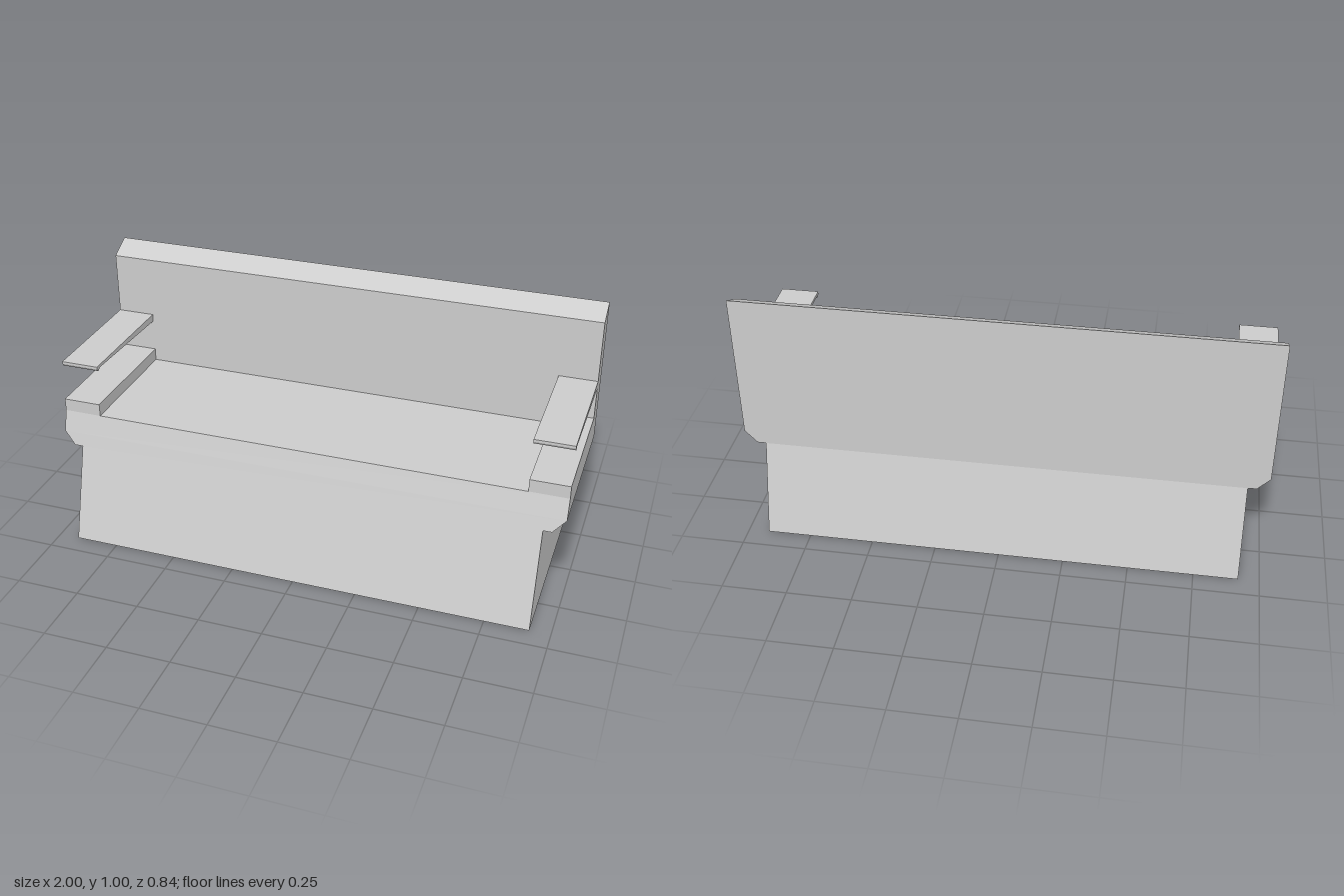
import * as THREE from 'three';

const material = new THREE.MeshStandardMaterial({ color: 0xcccccc, flatShading: true });

// Side profile of [z, y] points, extruded along x from x0 to x1
function profilePart(name, points, x0, x1) {
  const shape = new THREE.Shape(points.map(([z, y]) => new THREE.Vector2(z, y)));
  const geometry = new THREE.ExtrudeGeometry(shape, { depth: x1 - x0, bevelEnabled: false });
  geometry.rotateY(-Math.PI / 2).translate(x1, 0, 0);
  const mesh = new THREE.Mesh(geometry, material);
  mesh.name = name;
  return mesh;
}

// Stack of rectangular sections [y, halfWidth, frontZ, backZ], capped at both ends
function stackedPart(name, sections) {
  const positions = [];
  const quad = (a, b, c, d) => positions.push(...a, ...b, ...c, ...a, ...c, ...d);
  const rings = sections.map(([y, w, f, b]) => [[-w, y, f], [w, y, f], [w, y, b], [-w, y, b]]);
  for (let i = 0; i < rings.length - 1; i++) {
    for (let j = 0; j < 4; j++) {
      const k = (j + 1) % 4;
      quad(rings[i][j], rings[i][k], rings[i + 1][k], rings[i + 1][j]);
    }
  }
  quad(...[...rings[0]].reverse());
  quad(...rings[rings.length - 1]);
  const geometry = new THREE.BufferGeometry();
  geometry.setAttribute('position', new THREE.Float32BufferAttribute(positions, 3));
  geometry.computeVertexNormals();
  const mesh = new THREE.Mesh(geometry, material);
  mesh.name = name;
  return mesh;
}

export function createModel() {
  const bench = new THREE.Group();
  bench.name = 'bench';

  // Tapered base flaring out through a chamfered ledge into the seat
  bench.add(stackedPart('seatBase', [
    [0, 0.92, 0.42, -0.42],
    [0.37, 0.92, 0.311, -0.33],
    [0.37, 0.953, 0.311, -0.33],
    [0.42, 1, 0.297, -0.33],
    [0.5, 1, 0.273, -0.33],
  ]));

  // Upright back with a sloping top edge
  bench.add(profilePart('backrest',
    [[-0.33, 0.5], [-0.24, 0.5], [-0.24, 0.955], [-0.33, 1]], -1, 1));

  // Raised seat border and thin armrest with a front lip, at each end
  for (const [side, x0, x1] of [['left', 0.85, 1], ['right', -1, -0.85]]) {
    bench.add(profilePart(side + 'SeatBorder',
      [[-0.24, 0.5], [0.273, 0.5], [0.273, 0.55], [-0.24, 0.55]], x0, x1));
    bench.add(profilePart(side + 'Armrest', [
      [-0.24, 0.68], [0.242, 0.699], [0.247, 0.69], [0.255, 0.69],
      [0.262, 0.7], [0.262, 0.71], [-0.24, 0.71],
    ], x0, x1));
  }
  return bench;
}
